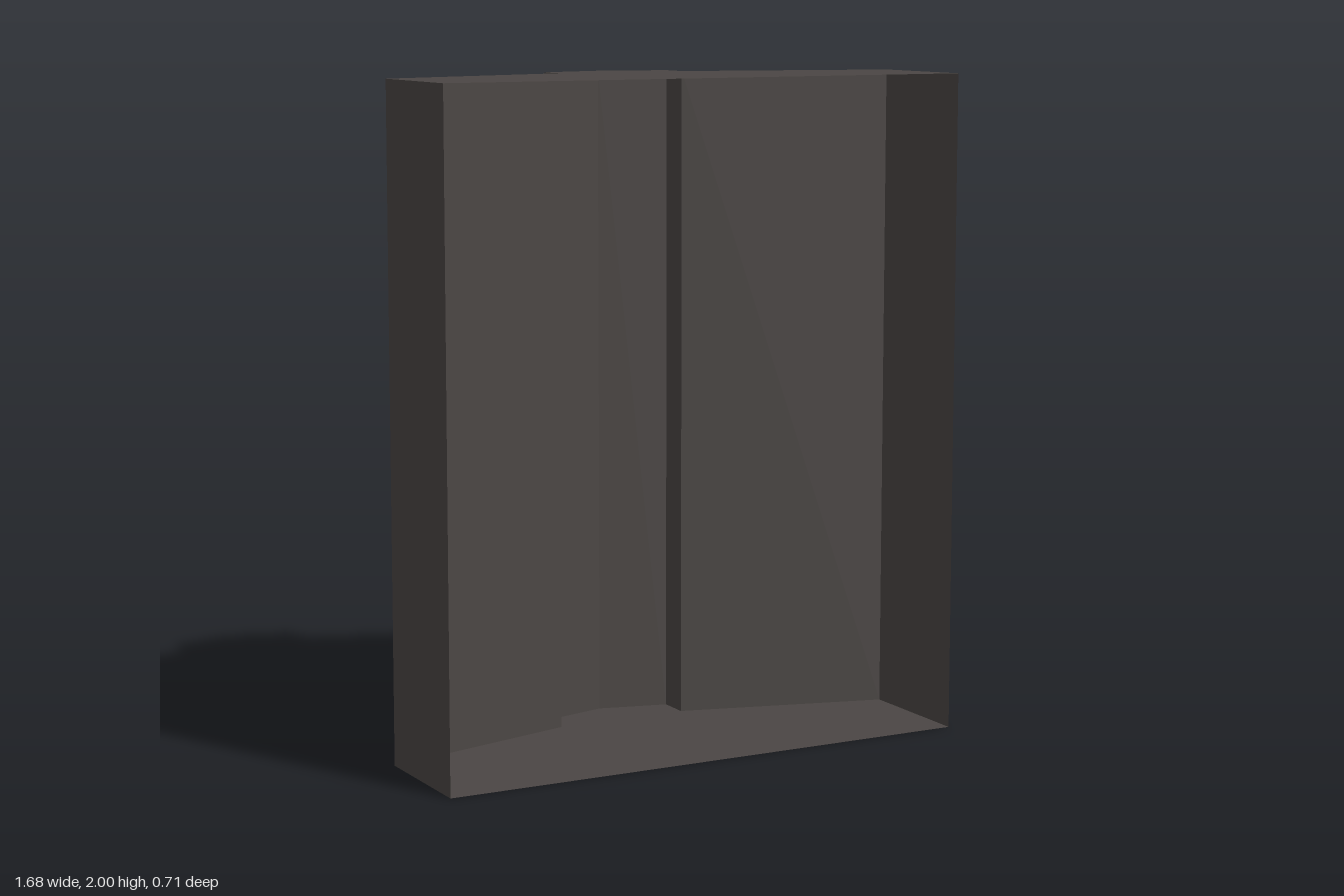
import * as THREE from 'three';

export function createModel() {
  const group = new THREE.Group();
  const darkGrey = new THREE.MeshStandardMaterial({ color: 0x4b4644, side: THREE.DoubleSide });
  darkGrey.name = 'darkGrey';
  const HEIGHT = 2;

  const add = (name, geometry) => {
    const mesh = new THREE.Mesh(geometry, darkGrey);
    mesh.name = name;
    group.add(mesh);
    return mesh;
  };

  // Plan outline as [x, -z]: right front edge, round the back, to left front edge
  const half = [[0.84, -0.357], [0.84, 0.037], [0.21, 0.207], [0.21, 0.304]];
  const outline = [...half, [0, 0.357], ...half.map(([x, d]) => [-x, d]).reverse()];

  // Thin upright walls, open at the front
  const names = ['leftSide', 'leftBackPanel', 'leftRidgeStep', 'leftRidgeFace',
    'rightRidgeFace', 'rightRidgeStep', 'rightBackPanel', 'rightSide'];
  names.forEach((name, i) => {
    const [x0, d0] = outline[i];
    const [x1, d1] = outline[i + 1];
    const wall = new THREE.PlaneGeometry(Math.hypot(x1 - x0, d1 - d0), HEIGHT);
    wall.rotateY(Math.atan2(d1 - d0, x1 - x0));
    wall.translate((x0 + x1) / 2, HEIGHT / 2, -(d0 + d1) / 2);
    add(name, wall);
  });

  // Floor and top plates share the outline
  const plan = new THREE.Shape(outline.map(([x, d]) => new THREE.Vector2(x, d)));
  for (const [name, y] of [['floorPlate', 0], ['topPlate', HEIGHT]]) {
    const plate = new THREE.ShapeGeometry(plan);
    plate.rotateX(y ? -Math.PI / 2 : Math.PI / 2);
    if (!y) plate.scale(1, 1, -1).scale(-1, 1, -1).scale(-1, 1, 1);
    if (!y) plate.scale(1, 1, -1);
    plate.translate(0, y, 0);
    add(name, plate);
  }

  // Four upright lugs with chamfered backs, seated on the sloping panels
  const lugHalf = [[0.467, 0.138], [0.572, 0.11], [0.572, 0.16], [0.545, 0.178], [0.494, 0.178], [0.467, 0.16]];
  for (const side of [1, -1]) {
    const profile = new THREE.Shape(lugHalf.map(([x, d]) => new THREE.Vector2(side * x, d)));
    for (const y of [0.255, 1.39]) {
      const lug = new THREE.ExtrudeGeometry(profile, { depth: 0.357, bevelEnabled: false });
      lug.rotateX(-Math.PI / 2);
      lug.translate(0, y, 0);
      add(`${side > 0 ? 'left' : 'right'}${y < 1 ? 'Lower' : 'Upper'}Lug`, lug);
    }
  }
  return group;
}
